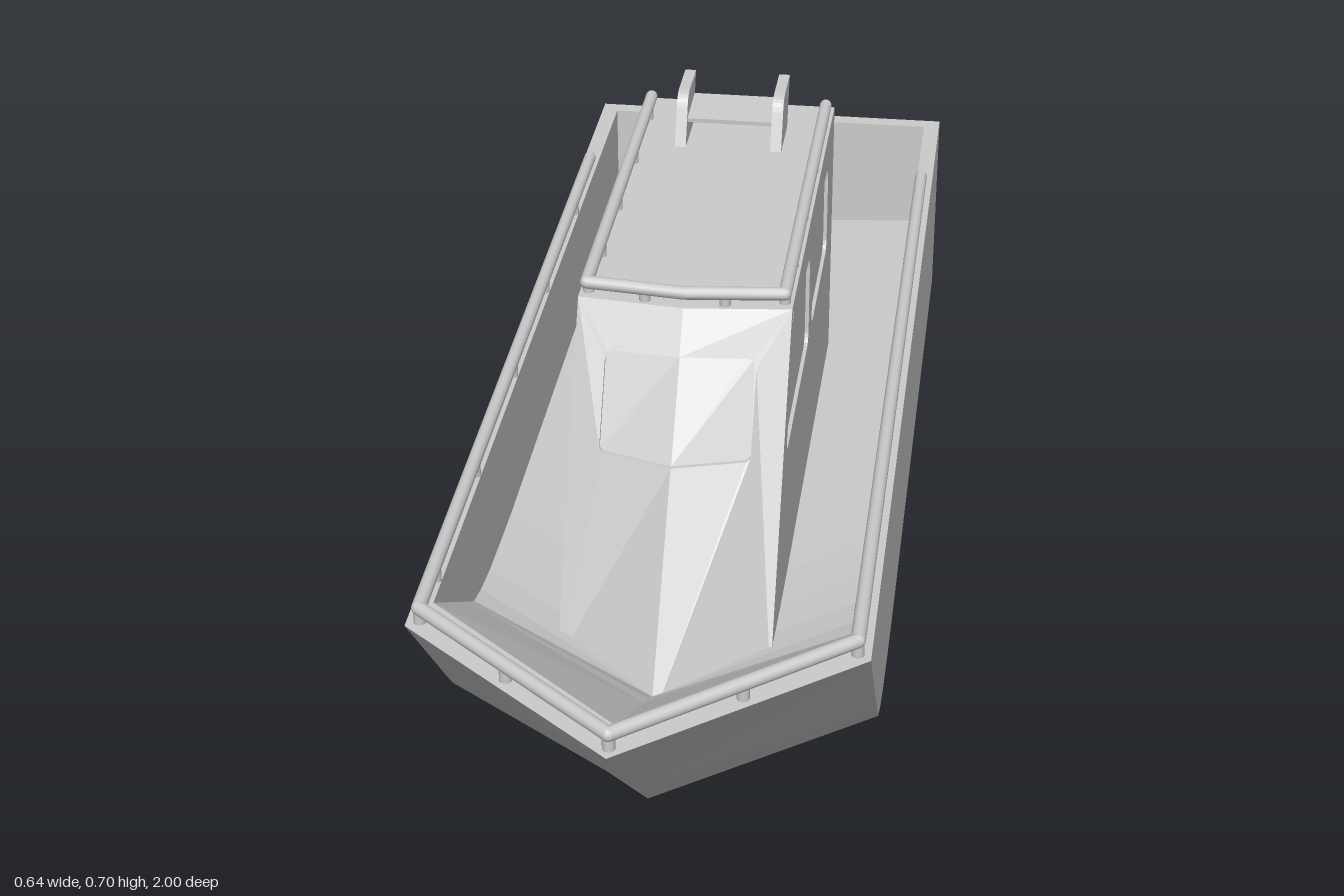
import * as THREE from 'three';

const grey = new THREE.MeshStandardMaterial({ color: 0xcccccc, side: THREE.DoubleSide });
const flat = new THREE.MeshStandardMaterial({ color: 0xcccccc, flatShading: true, side: THREE.DoubleSide });
const V = (x, y, z) => new THREE.Vector3(x, y, z);
const TOP = 0.372, ROOF = 0.625, CABIN = 0.16, WALL = 0.02;

function add(parent, name, geometry, material = flat) {
  const mesh = new THREE.Mesh(geometry, material);
  mesh.name = name;
  parent.add(mesh);
  return mesh;
}

function group(parent, name) {
  const g = new THREE.Group();
  g.name = name;
  parent.add(g);
  return g;
}

// Keel and chine lines from stern to bow, as [z, y]
const KEEL = [[-1, 0], [0.4, 0], [0.5, 0.006], [0.58, 0.014], [0.655, 0.03], [0.7, 0.08], [0.74, 0.115], [1, TOP]];
const CHINE = [[-1, 0.03], [0.17, 0.03], [0.27, 0.036], [0.36, 0.044], [0.43, 0.06], [0.485, 0.083], [0.515, 0.115], [0.745, TOP]];

function hullGeometry() {
  const pos = [];
  const quad = (s, flip, a, b, c, d) => {
    const p = (s < 0) !== flip ? [d, c, b, a] : [a, b, c, d];
    for (const i of [0, 1, 2, 0, 2, 3]) pos.push(s * p[i].x, p[i].y, p[i].z);
  };
  const outer = (x, [z, y]) => V(x * 0.322, y, z);
  const inner = (x, [z, y]) => V(x * 0.294, TOP - 0.58 * (TOP - y), z * 0.95 - 0.022);
  const up = v => V(v.x, TOP, v.z);
  for (const s of [1, -1]) {
    const rims = [];
    for (const [skin, flip] of [[outer, false], [inner, true]]) {
      const k = KEEL.map(p => skin(0, p)), e = CHINE.map(p => skin(1, p));
      const n = k.length - 1;
      for (let i = 0; i < n; i++) {
        quad(s, flip, k[i], e[i], e[i + 1], k[i + 1]);
        quad(s, flip, e[i], up(e[i]), up(e[i + 1]), e[i + 1]);
      }
      quad(s, flip, k[0], up(k[0]), up(e[0]), e[0]);
      rims.push([up(k[0]), up(e[0]), e[n], k[n]]);
    }
    const [o, r] = rims;
    for (let i = 0; i < 3; i++) quad(s, false, o[i], r[i], r[i + 1], o[i + 1]);
  }
  const g = new THREE.BufferGeometry();
  g.setAttribute('position', new THREE.Float32BufferAttribute(pos, 3));
  g.computeVertexNormals();
  return g;
}

// Closed path with rounded corners
function rounded(path, pts, r) {
  const p = pts.map(([x, y]) => new THREE.Vector2(x, y));
  const n = p.length;
  p.forEach((c, i) => {
    const toward = q => q.clone().sub(c).setLength(r).add(c);
    const a = toward(p[(i + n - 1) % n]), b = toward(p[(i + 1) % n]);
    if (i) path.lineTo(a.x, a.y); else path.moveTo(a.x, a.y);
    path.quadraticCurveTo(c.x, c.y, b.x, b.y);
  });
  path.closePath();
  return path;
}

const polygon = pts => new THREE.Shape(pts.map(([x, y]) => new THREE.Vector2(x, y)));
const extrude = (shape, depth) => new THREE.ExtrudeGeometry(shape, { depth, bevelEnabled: false, curveSegments: 5 });

// z of the raked, V-shaped cabin front
function frontZ(x, y) {
  const t = (ROOF - y) / 0.47;
  return THREE.MathUtils.lerp(0.252 + 0.36 * t, 0.235 + 0.243 * t, Math.abs(x) / CABIN);
}

// Panel drawn in x, y and bent onto the cabin front
function frontPanel(pts, s, depth, inset) {
  const g = extrude(polygon(pts.map(([x, y]) => [x * s, y])), depth);
  const p = g.attributes.position;
  for (let i = 0; i < p.count; i++) p.setZ(i, p.getZ(i) - depth - inset + frontZ(p.getX(i), p.getY(i)));
  g.computeVertexNormals();
  return g;
}

function buildCabin(parent) {
  const cabin = group(parent, 'cabin');
  const base = 0.14, under = ROOF - 0.025, back = -0.485;
  const windows = [
    [[-0.057, 0.407], [0.29, 0.407], [0.225, 0.567], [-0.057, 0.567]],
    [[-0.383, 0.407], [-0.11, 0.407], [-0.11, 0.567], [-0.383, 0.567]],
  ];
  for (const s of [1, -1]) {
    // Side wall with window openings and recessed panes
    const wall = polygon([[back, base], [frontZ(CABIN, base) - WALL, base], [frontZ(CABIN, under) - WALL, under], [back, under]]);
    for (const w of windows) {
      wall.holes.push(rounded(new THREE.Path(), w, 0.025));
      const pane = extrude(rounded(new THREE.Shape(), w, 0.025), 0.008).rotateY(-Math.PI / 2);
      add(cabin, 'sideWindow', pane).position.x = s * (CABIN - WALL / 2) + 0.004;
    }
    const side = add(cabin, 'cabinSide', extrude(wall, WALL).rotateY(-Math.PI / 2));
    side.position.x = s > 0 ? CABIN : WALL - CABIN;

    // Half of the front wall, notched for the windscreen
    const notch = [[0, 0.567], [0.1, 0.562], [0.109, 0.559], [0.113, 0.55], [0.113, 0.436], [0.107, 0.431], [0, 0.436]];
    add(cabin, 'cabinFront', frontPanel([[0, base], [CABIN, base], [CABIN, ROOF], [0, ROOF], ...notch], s, WALL, 0));
    add(cabin, 'windscreen', frontPanel(notch, s, 0.006, 0.007));
  }
  const corner = frontZ(CABIN, ROOF) - WALL, apex = frontZ(0, ROOF) - WALL;
  const roof = polygon([[-CABIN, back], [CABIN, back], [CABIN, corner], [0, apex], [-CABIN, corner]]);
  add(cabin, 'cabinRoof', extrude(roof, 0.025).rotateX(Math.PI / 2)).position.y = ROOF;
}

function rod(parent, name, a, b, r) {
  const d = b.clone().sub(a);
  const m = add(parent, name, new THREE.CylinderGeometry(r, r, d.length(), 12), grey);
  m.position.copy(a).addScaledVector(d, 0.5);
  m.quaternion.setFromUnitVectors(V(0, 1, 0), d.normalize());
}

// Rail running up one side, round the pointed front and back down the other
function buildRail(parent, name, { x, y, r, stern, corner, apex, deck, posts }) {
  const rail = group(parent, name);
  const path = [V(x, y, stern), V(x, y, corner), V(0, y, apex), V(-x, y, corner), V(-x, y, stern)];
  path.forEach((p, i) => {
    if (i) rod(rail, 'railBar', path[i - 1], p, r);
    add(rail, 'railJoint', new THREE.SphereGeometry(r, 12, 8), grey).position.copy(p);
  });
  for (const [px, pz] of posts)
    for (const s of px ? [1, -1] : [1]) rod(rail, 'railPost', V(s * px, deck - 0.005, pz), V(s * px, y, pz), r * 0.85);
}

// Two swept fins joined by a plate on the cabin roof
function buildRoofMount(parent) {
  const mount = group(parent, 'roofMount');
  const fin = new THREE.Shape();
  fin.moveTo(-0.395, ROOF);
  fin.lineTo(-0.297, ROOF);
  fin.lineTo(-0.322, 0.685);
  fin.quadraticCurveTo(-0.33, 0.705, -0.35, 0.705);
  fin.lineTo(-0.43, 0.705);
  fin.closePath();
  for (const x of [0.088, -0.07])
    add(mount, 'mountFin', extrude(fin, 0.018).rotateY(-Math.PI / 2)).position.x = x;
  const plate = add(mount, 'mountPlate', new THREE.BoxGeometry(0.142, 0.007, 0.09));
  plate.position.set(0, 0.666, -0.365);
  plate.rotation.x = 0.06;
}

export function createModel() {
  const boat = new THREE.Group();
  boat.name = 'boat';
  add(boat, 'hull', hullGeometry());
  buildCabin(boat);
  buildRail(boat, 'deckRail', {
    x: 0.303, y: 0.397, r: 0.0105, stern: -0.71, corner: 0.735, apex: 0.98, deck: TOP,
    posts: [[0, 0.978], [0.16, 0.85], [0.303, 0.733], [0.303, 0.63], [0.303, 0.35], [0.303, 0.05], [0.303, -0.235], [0.303, -0.53]],
  });
  buildRail(boat, 'roofRail', {
    x: 0.148, y: 0.646, r: 0.01, stern: -0.445, corner: 0.227, apex: 0.243, deck: ROOF,
    posts: [[0.06, 0.233], [0.147, 0.215], [0.147, 0.1], [0.147, -0.06], [0.147, -0.23], [0.147, -0.4]],
  });
  buildRoofMount(boat);
  return boat;
}
